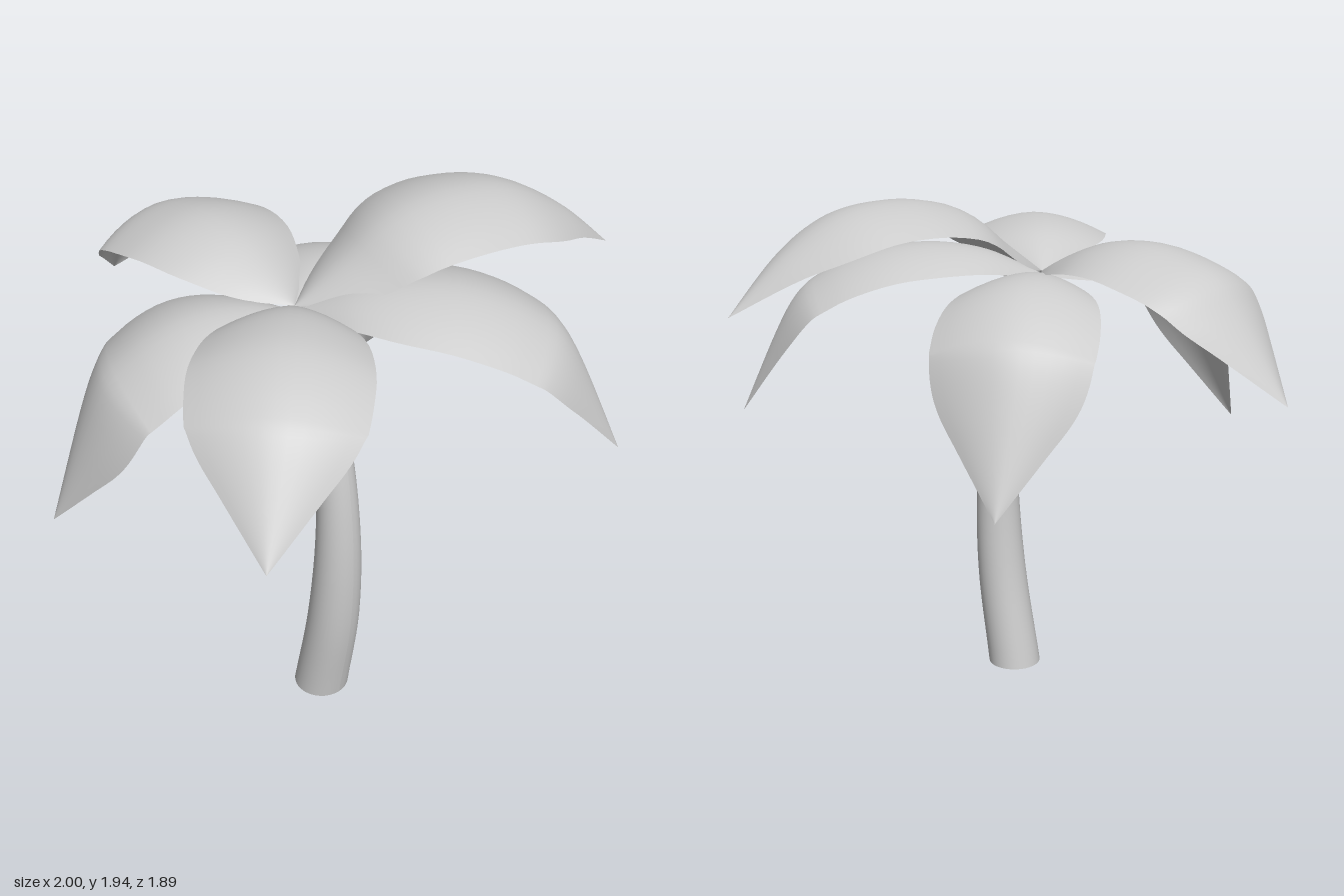
import * as THREE from 'three';

const material = new THREE.MeshStandardMaterial({ color: 0xcccccc, side: THREE.DoubleSide });
const CROWN = { x: -0.18, z: 0.14 };

// Half width of a frond: (fraction of length, half width)
const outline = new THREE.SplineCurve([
  [0, 0], [0.07, 0.11], [0.15, 0.19], [0.27, 0.26], [0.42, 0.29], [0.55, 0.287],
  [0.65, 0.27], [0.73, 0.23], [0.82, 0.155], [0.91, 0.078], [0.975, 0.022], [1, 0],
].map(([t, w]) => new THREE.Vector2(t, w)));

// Midribs in the frond's own upright plane: (distance outwards, height)
const raised = [[0, 1.63], [0.19, 1.77], [0.3, 1.86], [0.42, 1.915], [0.6, 1.94], [0.81, 1.91], [1.02, 1.79], [1.23, 1.6]];
const level = [[0, 1.63], [0.15, 1.71], [0.3, 1.77], [0.45, 1.79], [0.6, 1.77], [0.77, 1.71], [0.88, 1.6], [1.09, 1.31]];
const arched = [[0, 1.63], [0.2, 1.74], [0.4, 1.775], [0.55, 1.76], [0.7, 1.7], [0.8, 1.62], [1.02, 1.33]];
const drooping = [[0, 1.62], [0.2, 1.71], [0.4, 1.74], [0.6, 1.72], [0.8, 1.64], [0.94, 1.51], [1.13, 1.11]];
const hanging = [[0, 1.61], [0.15, 1.655], [0.3, 1.665], [0.45, 1.63], [0.6, 1.54], [0.7, 1.42], [0.88, 0.95]];

// Frond: an arched cross-section swept along the midrib, heading along (dx, dz)
function createFrond(name, midrib, dx, dz) {
  const ROWS = 44, COLS = 12;
  const curve = new THREE.SplineCurve(midrib.map(([r, y]) => new THREE.Vector2(r, y)));
  const len = Math.hypot(dx, dz);
  dx /= len;
  dz /= len;
  const positions = [], index = [];
  for (let i = 0; i <= ROWS; i++) {
    const { x: t, y: w } = outline.getPoint(i / ROWS);
    const s = THREE.MathUtils.clamp(t, 0, 1);
    const p = curve.getPointAt(s), tan = curve.getTangentAt(s);
    for (let j = 0; j <= COLS; j++) {
      const k = (j / COLS) * 2 - 1;
      const drop = 0.31 * w * Math.abs(k) ** 1.8;
      const r = p.x + tan.y * drop, y = p.y - tan.x * drop;
      positions.push(CROWN.x + dx * r - dz * w * k, y, CROWN.z + dz * r + dx * w * k);
      if (i < ROWS && j < COLS) {
        const a = i * (COLS + 1) + j, b = a + COLS + 1;
        index.push(a, a + 1, b, a + 1, b + 1, b);
      }
    }
  }
  const geometry = new THREE.BufferGeometry();
  geometry.setAttribute('position', new THREE.Float32BufferAttribute(positions, 3));
  geometry.setIndex(index);
  geometry.computeVertexNormals();
  const mesh = new THREE.Mesh(geometry, material);
  mesh.name = name;
  return mesh;
}

// Trunk: a cylinder whose level rings follow a bowed, tapering path
function createTrunk() {
  // (height, centre z, radius)
  const path = new THREE.CatmullRomCurve3([
    [0, 0.28, 0.103], [0.4, 0.347, 0.095], [0.8, 0.364, 0.08],
    [1.2, 0.322, 0.061], [1.63, 0.188, 0.036],
  ].map((p) => new THREE.Vector3(...p)));
  const geometry = new THREE.CylinderGeometry(1, 1, 1, 32, 24);
  const pos = geometry.attributes.position;
  for (let i = 0; i < pos.count; i++) {
    const p = path.getPoint(pos.getY(i) + 0.5);
    pos.setXYZ(i, -0.172 + pos.getX(i) * p.z, p.x, p.y + pos.getZ(i) * p.z);
  }
  geometry.computeVertexNormals();
  const mesh = new THREE.Mesh(geometry, material);
  mesh.name = 'trunk';
  return mesh;
}

export function createModel() {
  const model = new THREE.Group();
  model.name = 'palmTree';
  const fronds = new THREE.Group();
  fronds.name = 'fronds';
  fronds.add(
    createFrond('backFrond', level, 0, -1),
    createFrond('upperLeftFrond', raised, 1.18, 0.35),
    createFrond('frontLeftFrond', drooping, 0.79, 0.8),
    createFrond('frontRightFrond', arched, -0.72, 0.72),
    createFrond('backRightFrond', hanging, -0.82, -0.32),
    createFrond('backLeftFrond', hanging, 0.75, -0.45),
  );
  model.add(createTrunk(), fronds);
  return model;
}
